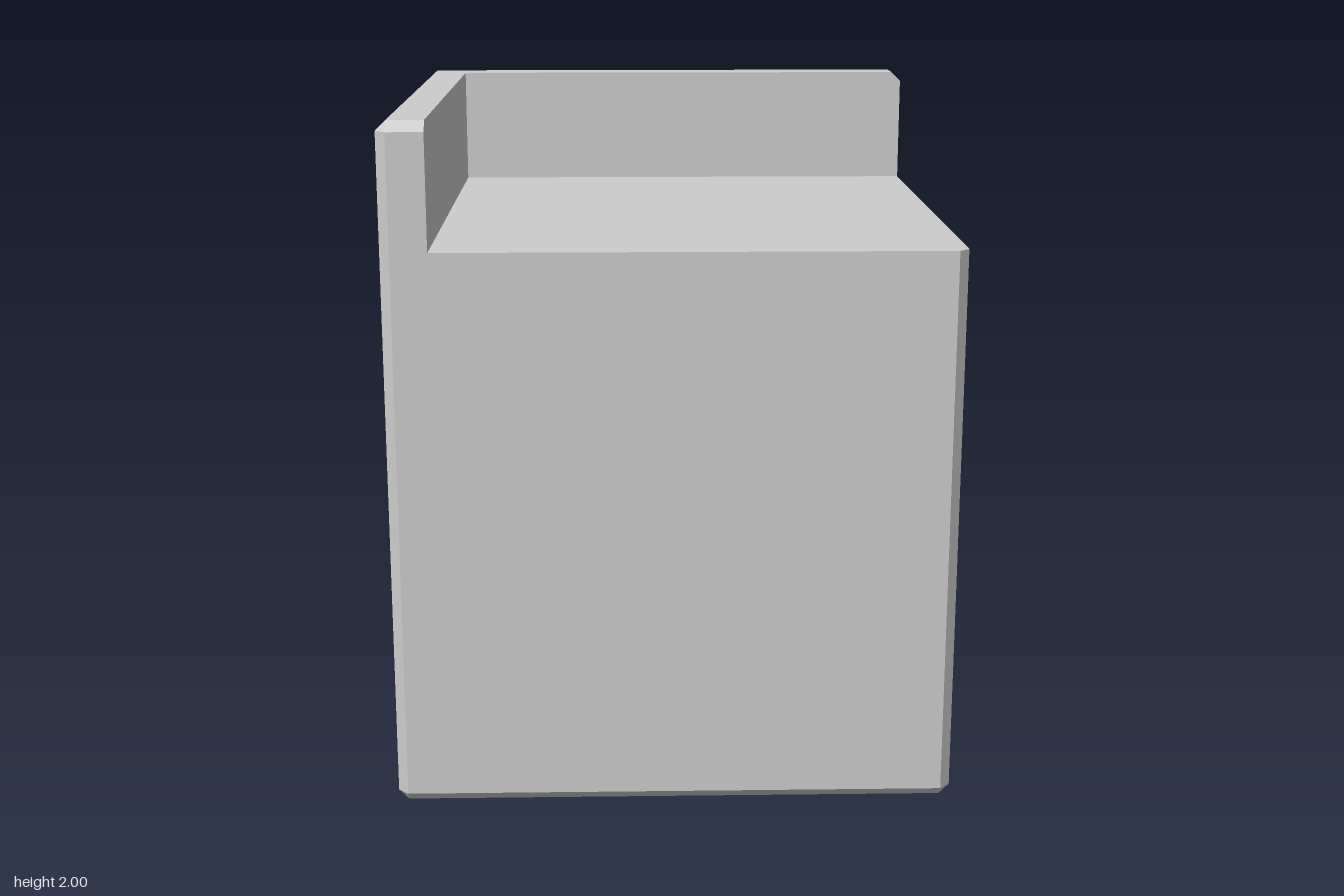
import * as THREE from 'three';

const H = 0.815; // half width and depth
const C = 0.03; // chamfer
const W = -0.68; // inner face of the two raised walls
const SEAT = 1.64; // height of the platform
const TOP = 2;

// Outlines as [x, z], clockwise seen from above
const wallOutline = [
  [W, H], [-H + C, H], [-H, H - C], [-H, -H + C],
  [-H + C, -H], [H - C, -H], [H, -H + C], [H, W],
];
const blockCorner = [[H, H - C], [H - C, H]];
const innerCorner = [W, W];

// Places an outline at height y; chamfered rings are clamped inwards
function ring(outline, y, limit = H) {
  const clamp = (v) => THREE.MathUtils.clamp(v, -limit, limit);
  return outline.map(([x, z]) => new THREE.Vector3(clamp(x), y, clamp(z)));
}

function buildGeometry() {
  const points = [];
  const face = (a, b, c) => {
    // Skip triangles that the clamping has collapsed
    if (new THREE.Triangle(a, b, c).getArea() > 1e-7) points.push(a, b, c);
  };
  const skin = (low, high) => low.forEach((a, i) => {
    const j = (i + 1) % low.length;
    face(a, high[i], low[j]);
    face(low[j], high[i], high[j]);
  });
  const cap = (loop, up) => {
    for (let i = 1; i < loop.length - 1; i++) {
      if (up) face(loop[0], loop[i + 1], loop[i]);
      else face(loop[0], loop[i], loop[i + 1]);
    }
  };

  // Block with chamfered base and corners
  const full = [...wallOutline, ...blockCorner];
  const base = ring(full, 0, H - C);
  cap(base, false);
  skin(base, ring(full, C));
  skin(ring(full, C), ring(full, SEAT));

  // Platform
  cap(ring([innerCorner, [H, W], ...blockCorner, [W, H]], SEAT), true);

  // L-shaped raised wall along the back and one side
  const wall = [innerCorner, ...wallOutline];
  const rim = ring(wall, TOP, H - C);
  skin(ring(wall, SEAT), ring(wall, TOP - C));
  skin(ring(wall, TOP - C), rim);
  cap(rim, true);

  const geometry = new THREE.BufferGeometry().setFromPoints(points);
  geometry.computeVertexNormals();
  return geometry;
}

export function createModel() {
  const grey = new THREE.MeshStandardMaterial({ color: 0xcccccc });
  grey.name = 'light grey';
  const body = new THREE.Mesh(buildGeometry(), grey);
  body.name = 'cornerBlock';
  const group = new THREE.Group();
  group.name = 'cornerSeat';
  group.add(body);
  return group;
}
